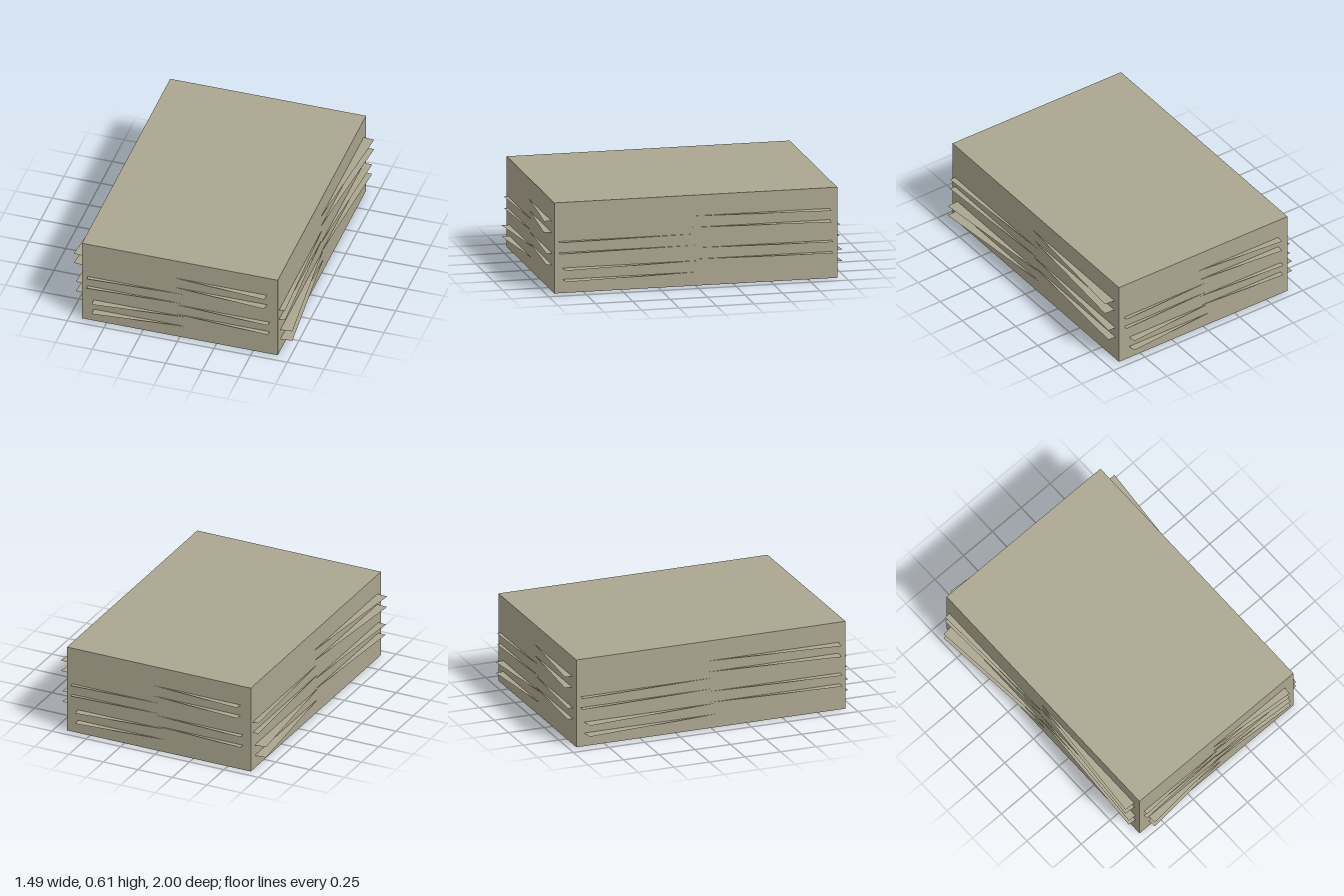
import * as THREE from 'three';

const W = 1.335, H = 0.605, D = 1.89;

export function createModel() {
  const group = new THREE.Group();
  group.name = 'paperStack';

  const paper = new THREE.MeshStandardMaterial({ color: 0xaba68f, side: THREE.DoubleSide });
  paper.name = 'paper';

  // Solid main block of the stack
  const block = new THREE.Mesh(new THREE.BoxGeometry(W, H, D), paper);
  block.name = 'stackBlock';
  block.position.y = H / 2;
  group.add(block);

  // Pairs of thin loose sheets, twisted about the upright axis: [lower height, turn]
  const sheet = new THREE.PlaneGeometry(W, D).rotateX(-Math.PI / 2);
  const bundles = [[0.091, 0.087], [0.178, -0.06], [0.27, 0.043], [0.391, -0.08]];
  bundles.forEach(([y, turn], i) => {
    const bundle = new THREE.Group();
    bundle.name = `looseSheets${i + 1}`;
    bundle.position.y = y;
    bundle.rotation.y = turn;
    ['lowerSheet', 'upperSheet'].forEach((name, j) => {
      const mesh = new THREE.Mesh(sheet, paper);
      mesh.name = name;
      mesh.position.y = j * 0.0756;
      bundle.add(mesh);
    });
    group.add(bundle);
  });

  return group;
}
